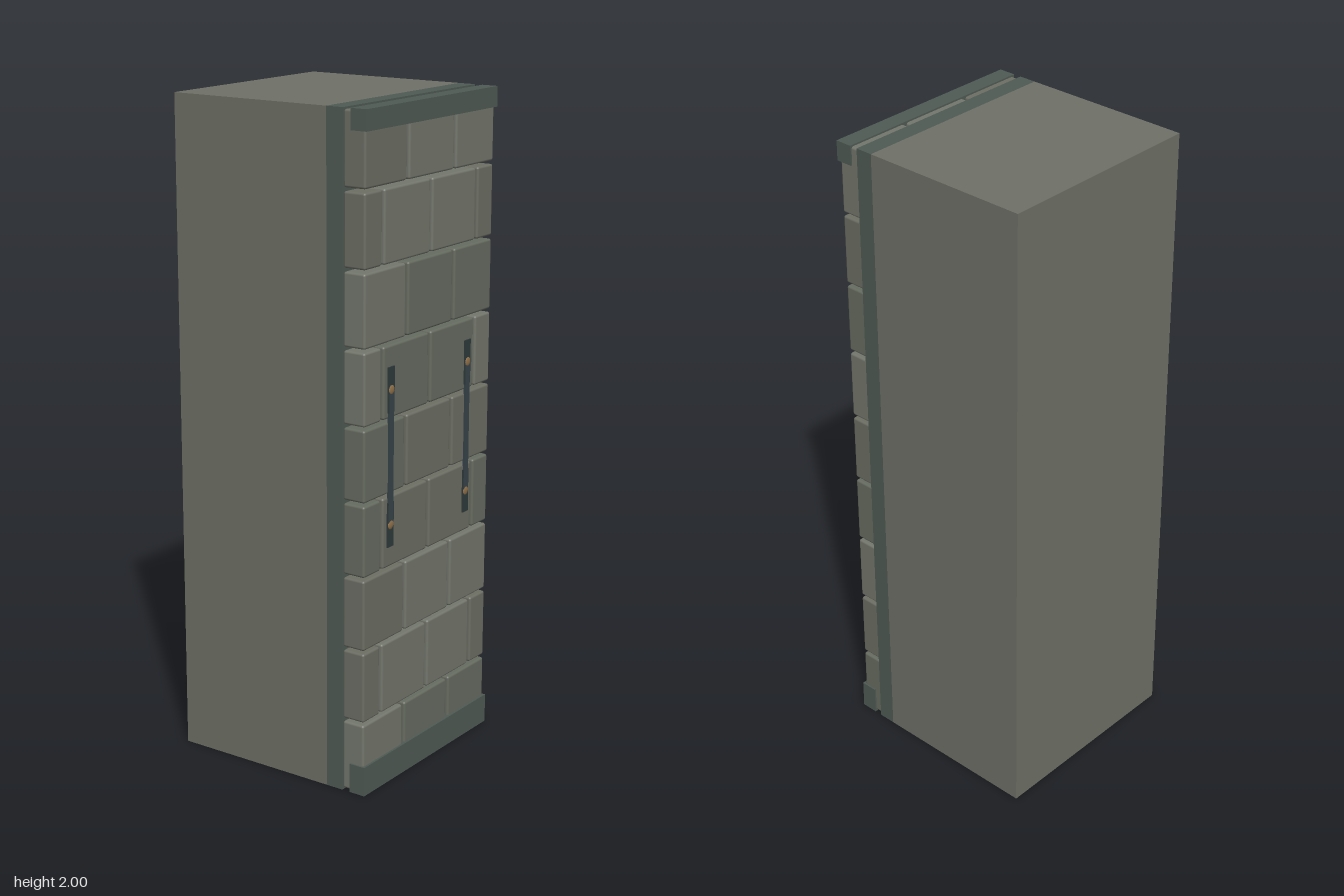
import * as THREE from 'three';
import { RoundedBoxGeometry } from 'three/addons/geometries/RoundedBoxGeometry.js';

const material = (color) => new THREE.MeshStandardMaterial({ color });
const stone = material(0x6e7066);
const mortar = material(0x4f5a54);
const iron = material(0x36434a);
const darkIron = material(0x2f3a3c);
const brass = material(0x8f7048);
const brickTones = [0x73766c, 0x666b60, 0x6c6e64].map(material);

function add(parent, name, geometry, mat, x, y, z) {
  const mesh = new THREE.Mesh(geometry, mat);
  mesh.name = name;
  mesh.position.set(x, y, z);
  parent.add(mesh);
  return mesh;
}

// Box given by its lower and upper corners
function box(parent, name, mat, [x0, y0, z0], [x1, y1, z1]) {
  return add(parent, name, new THREE.BoxGeometry(x1 - x0, y1 - y0, z1 - z0), mat,
    (x0 + x1) / 2, (y0 + y1) / 2, (z0 + z1) / 2);
}

// Staggered courses of softened blocks, trimmed at both sides
function brickFacing() {
  const group = new THREE.Group();
  group.name = 'brickFacing';
  const rows = 9, rowHeight = 2 / rows, pitch = 0.24, half = 0.114, edge = 0.328;
  for (let row = 0; row < rows; row++) {
    const centres = row % 2 ? [-1.5, -0.5, 0.5, 1.5] : [-1, 0, 1];
    centres.forEach((c, i) => {
      const x0 = Math.max(-edge, c * pitch - half);
      const x1 = Math.min(edge, c * pitch + half);
      const geometry = new RoundedBoxGeometry(x1 - x0, rowHeight - 0.01, 0.073, 2, 0.007);
      add(group, 'brick', geometry, brickTones[(row * 2 + i * i + (row >> 1)) % 3],
        (x0 + x1) / 2, (row + 0.5) * rowHeight, 0.2895);
    });
  }
  return group;
}

// Upright pull with end plates and two domed rivets
function handle(x) {
  const group = new THREE.Group();
  group.name = 'handle';
  box(group, 'grip', iron, [x - 0.011, 0.8, 0.324], [x + 0.011, 1.2, 0.331]);
  for (const side of [-1, 1]) {
    const y = 1 + side * 0.2;
    box(group, 'endPlate', darkIron, [x - 0.015, y - 0.067, 0.324], [x + 0.015, y + 0.067, 0.33]);
    const rivet = add(group, 'rivet', new THREE.SphereGeometry(0.015, 16, 12), brass, x, y, 0.328);
    rivet.scale.z = 0.35;
  }
  return group;
}

export function createModel() {
  const model = new THREE.Group();
  model.name = 'stoneDoorBlock';

  // Solid block and the darker backing slab in front of it
  box(model, 'block', stone, [-0.333, 0, -0.333], [0.333, 2, 0.2]);
  box(model, 'backingSlab', mortar, [-0.333, 0, 0.2], [0.333, 2, 0.255]);

  model.add(brickFacing());

  // Bands across the foot and head of the face
  box(model, 'lowerBand', mortar, [-0.333, 0, 0.28], [0.333, 0.09, 0.333]);
  box(model, 'upperBand', mortar, [-0.333, 1.94, 0.28], [0.333, 2, 0.333]);

  for (const side of [-1, 1]) model.add(handle(side * 0.2));
  return model;
}
